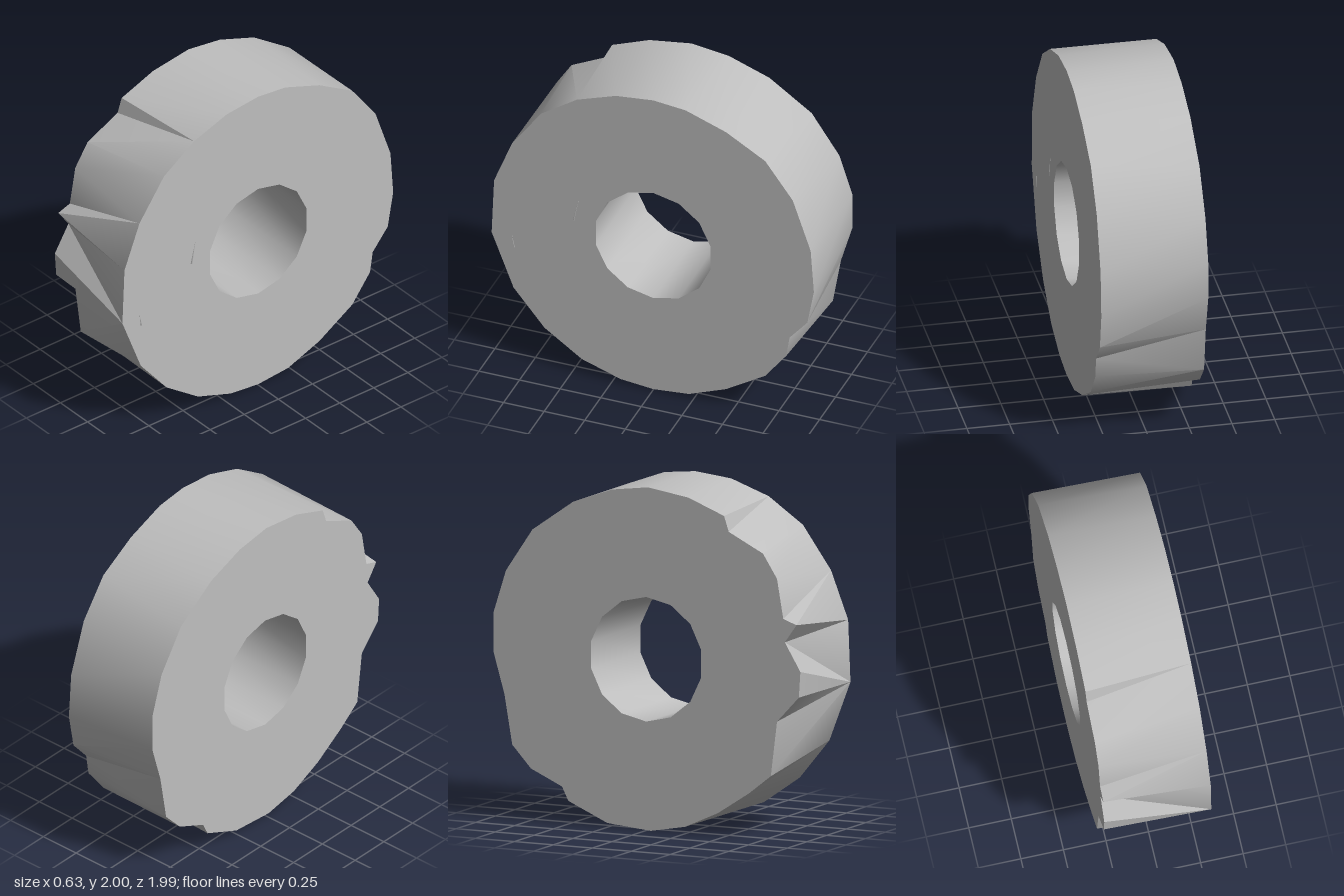
import * as THREE from 'three';
import { toCreasedNormals } from 'three/addons/utils/BufferGeometryUtils.js';

const HALF = 0.314;

// Rim stations from the top over the front: z, y on the +x edge, then z, y on the chipped -x edge
const RIM = [
  [0, 1, 0.01, 1], [0.23, 0.975, 0.27, 0.96], [0.47, 0.89, 0.5, 0.87], [0.47, 0.89, 0.53, 0.78],
  [0.69, 0.74, 0.75, 0.67], [0.87, 0.49, 0.84, 0.53], [0.87, 0.49, 0.88, 0.3], [0.87, 0.49, 0.965, 0.27],
  [0.98, 0.21, 0.965, 0.27], [0.98, 0.21, 0.89, 0.165], [0.995, -0.15, 0.89, 0.165], [0.995, -0.15, 0.99, 0],
  [0.995, -0.15, 0.98, -0.15], [0.995, -0.15, 0.84, -0.3], [0.86, -0.5, 0.8, -0.62], [0.67, -0.73, 0.66, -0.73],
  [0.44, -0.89, 0.46, -0.86], [0.2, -0.97, 0.25, -0.955], [0, -0.99, 0.03, -0.995], [-0.22, -0.97, -0.25, -0.97],
  [-0.45, -0.88, -0.5, -0.86], [-0.45, -0.88, -0.54, -0.78], [-0.69, -0.73, -0.74, -0.69],
  [-0.82, -0.56, -0.86, -0.56], [-0.84, -0.43, -0.86, -0.56], [-0.95, -0.3, -0.91, -0.27],
  [-0.99, -0.08, -0.98, -0.03], [-0.97, 0.2, -0.98, 0.2], [-0.86, 0.52, -0.9, 0.45],
  [-0.69, 0.75, -0.73, 0.7], [-0.45, 0.89, -0.47, 0.88], [-0.2, 0.98, -0.22, 0.97],
];

// Bore stations: a 14-sided circle, the same on both edges
const BORE = Array.from({ length: 14 }, (_, i) => {
  const a = (i / 14) * Math.PI * 2;
  const z = 0.362 * Math.sin(a), y = 0.362 * Math.cos(a);
  return [z, y, z, y];
});

// Wall between the two edges; zero-area triangles are left out
function wall(rows, inward) {
  const pos = [];
  const tri = (a, b, c) => {
    if (a.equals(b) || b.equals(c) || a.equals(c)) return;
    for (const p of inward ? [a, c, b] : [a, b, c]) pos.push(p.x, p.y, p.z);
  };
  const right = (r) => new THREE.Vector3(HALF, r[1], r[0]);
  const left = (r) => new THREE.Vector3(-HALF, r[3], r[2]);
  rows.forEach((r, i) => {
    const n = rows[(i + 1) % rows.length];
    tri(right(r), left(r), left(n));
    tri(right(r), left(n), right(n));
  });
  const g = new THREE.BufferGeometry();
  g.setAttribute('position', new THREE.Float32BufferAttribute(pos, 3));
  return toCreasedNormals(g, 0.5);
}

// Flat ring face on one side (+1 or -1)
function face(side) {
  const outline = (rows) => {
    const k = side > 0 ? 0 : 2;
    return rows
      .map((r) => new THREE.Vector2(-side * r[k], r[k + 1]))
      .filter((p, i, all) => i === 0 || !p.equals(all[i - 1]));
  };
  const shape = new THREE.Shape(outline(RIM));
  shape.holes.push(new THREE.Path(outline(BORE)));
  const g = new THREE.ShapeGeometry(shape);
  g.rotateY((side * Math.PI) / 2);
  g.translate(side * HALF, 0, 0);
  return g;
}

export function createModel() {
  const model = new THREE.Group();
  model.name = 'chippedStoneRing';
  const stone = new THREE.MeshStandardMaterial({ color: 0xbfbfbf });
  stone.name = 'stone grey';

  const add = (name, geometry) => {
    const mesh = new THREE.Mesh(geometry, stone);
    mesh.name = name;
    mesh.position.y = 1;
    model.add(mesh);
    return mesh;
  };

  add('outerRim', wall(RIM, false));
  add('bore', wall(BORE, true));
  add('leftFace', face(1));
  add('rightFace', face(-1));

  // Two tiny splinters on the +x face: z, y, length, tilt
  for (const [z, y, len, tilt] of [[0.475, 0.12, 0.14, -0.2], [0.862, -0.18, 0.08, 0.18]]) {
    const splinter = add('splinter', new THREE.CylinderGeometry(0.001, 0.006, len, 3));
    splinter.position.set(HALF, 1 + y, z);
    splinter.rotation.x = tilt;
  }
  return model;
}
